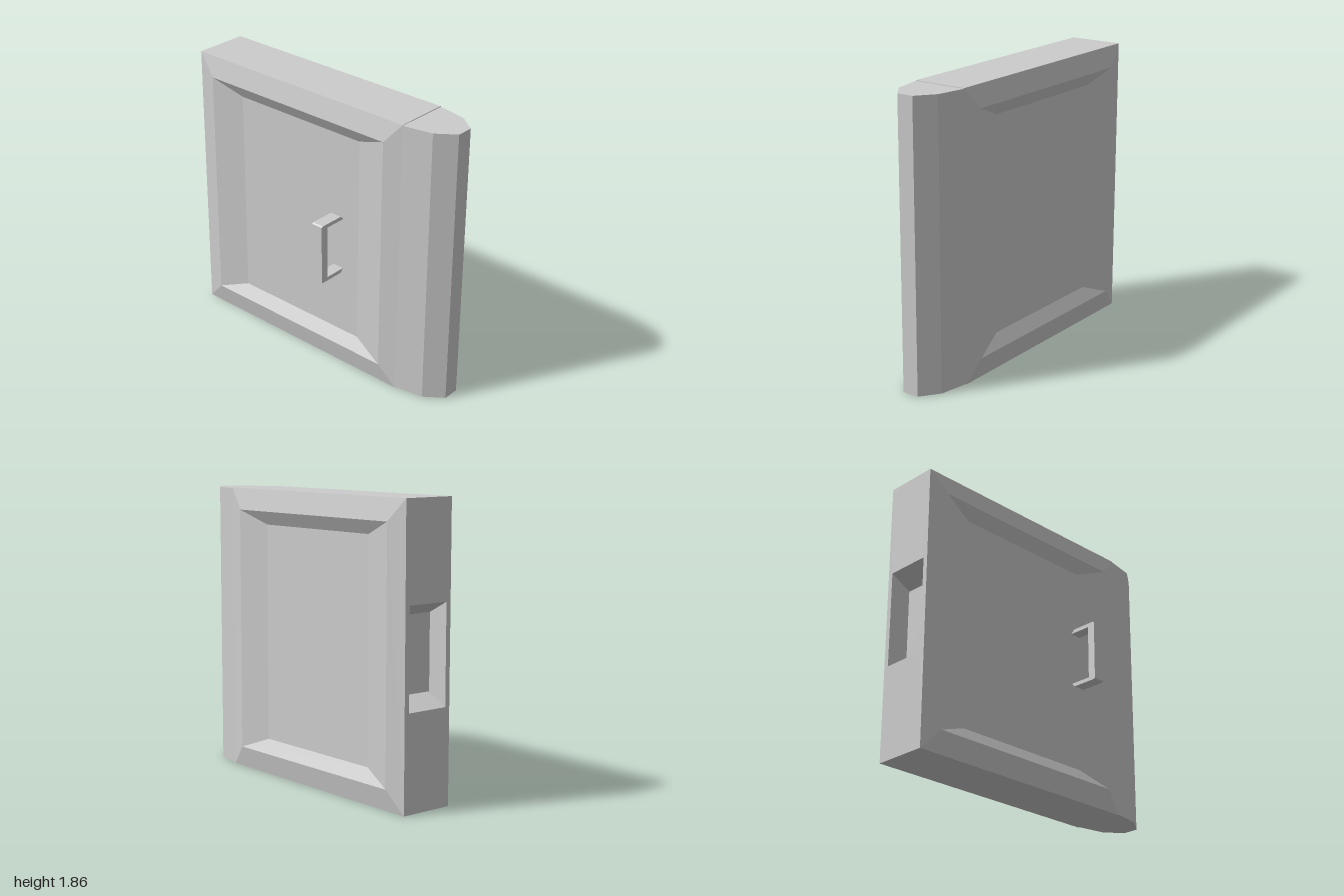
import * as THREE from 'three';

const grey = new THREE.MeshStandardMaterial({ color: 0xcccccc });
grey.name = 'light grey';

const MID = -0.112; // middle plane of the door in z
const HEIGHT = 1.855;

// Flat-shaded skin over a list of four-cornered loops
function loft(loops, { skip = -1, capStart = false, capEnd = true } = {}) {
  const pos = [];
  const quad = (a, b, c, d) => [a, b, c, a, c, d].forEach((p) => pos.push(...p));
  for (let k = 0; k < loops.length - 1; k++) {
    const a = loops[k], b = loops[k + 1];
    for (let i = 0; i < 4; i++) {
      const j = (i + 1) % 4;
      if (!(i === 3 && k === skip)) quad(a[i], a[j], b[j], b[i]);
    }
  }
  if (capStart) quad(...[...loops[0]].reverse());
  if (capEnd) quad(...loops[loops.length - 1]);
  const g = new THREE.BufferGeometry();
  g.setAttribute('position', new THREE.Float32BufferAttribute(pos, 3));
  g.computeVertexNormals();
  return g;
}

// Rectangle facing z, and rectangle facing -x
const faceLoop = (x0, x1, y0, y1, z) => [[x0, y0, z], [x1, y0, z], [x1, y1, z], [x0, y1, z]];
const edgeLoop = (x, y0, y1, h) => [[x, y0, MID - h], [x, y0, MID + h], [x, y1, MID + h], [x, y1, MID - h]];

function addMesh(group, name, geometry) {
  const mesh = new THREE.Mesh(geometry, grey);
  mesh.name = name;
  group.add(mesh);
}

function extrude(points, depth) {
  const shape = new THREE.Shape(points.map(([x, y]) => new THREE.Vector2(x, y)));
  return new THREE.ExtrudeGeometry(shape, { depth, bevelEnabled: false });
}

export function createModel() {
  const group = new THREE.Group();
  group.name = 'slidingDoor';

  // Door panel: bevelled rim, raised ridge and sunken field on both sides
  const half = [
    [-0.65, 0.34, 0.225, 1.63, 0.157],
    [-0.87, 0.565, 0.14, 1.717, 0.208],
    [-1, 0.685, 0, HEIGHT, 0.179],
  ];
  const side = (s) => half.map(([x0, x1, y0, y1, h]) => faceLoop(x0, x1, y0, y1, MID + s * h));
  addMesh(group, 'doorPanel', loft([...side(-1), ...side(1).reverse()], { skip: 2, capStart: true }));

  // Hinge-side edge with a tapered pocket
  addMesh(group, 'edgePocket', loft([
    edgeLoop(-1, 0, HEIGHT, 0.179),
    edgeLoop(-1, 0.61, 1.24, 0.146),
    edgeLoop(-0.86, 0.685, 1.165, 0.146),
  ]));

  // Rounded nose along the other edge
  const nose = extrude([
    [0.685, MID - 0.179], [0.88, MID - 0.144], [1, MID - 0.055],
    [1, MID + 0.055], [0.88, MID + 0.144], [0.685, MID + 0.179],
  ], 1.847);
  nose.rotateX(Math.PI / 2).translate(0, 1.851, 0);
  addMesh(group, 'roundedNose', nose);

  // Pull handle, profile drawn in z and y
  const handle = extrude([
    [0.12, 0.755], [0.145, 0.73], [0.31, 0.73], [0.32, 0.737],
    [0.32, 1.127], [0.31, 1.134], [0.145, 1.134], [0.12, 1.109],
    [0.268, 1.109], [0.268, 0.755],
  ], 0.08);
  handle.rotateY(-Math.PI / 2).translate(0.283, 0, 0);
  addMesh(group, 'handle', handle);

  return group;
}
